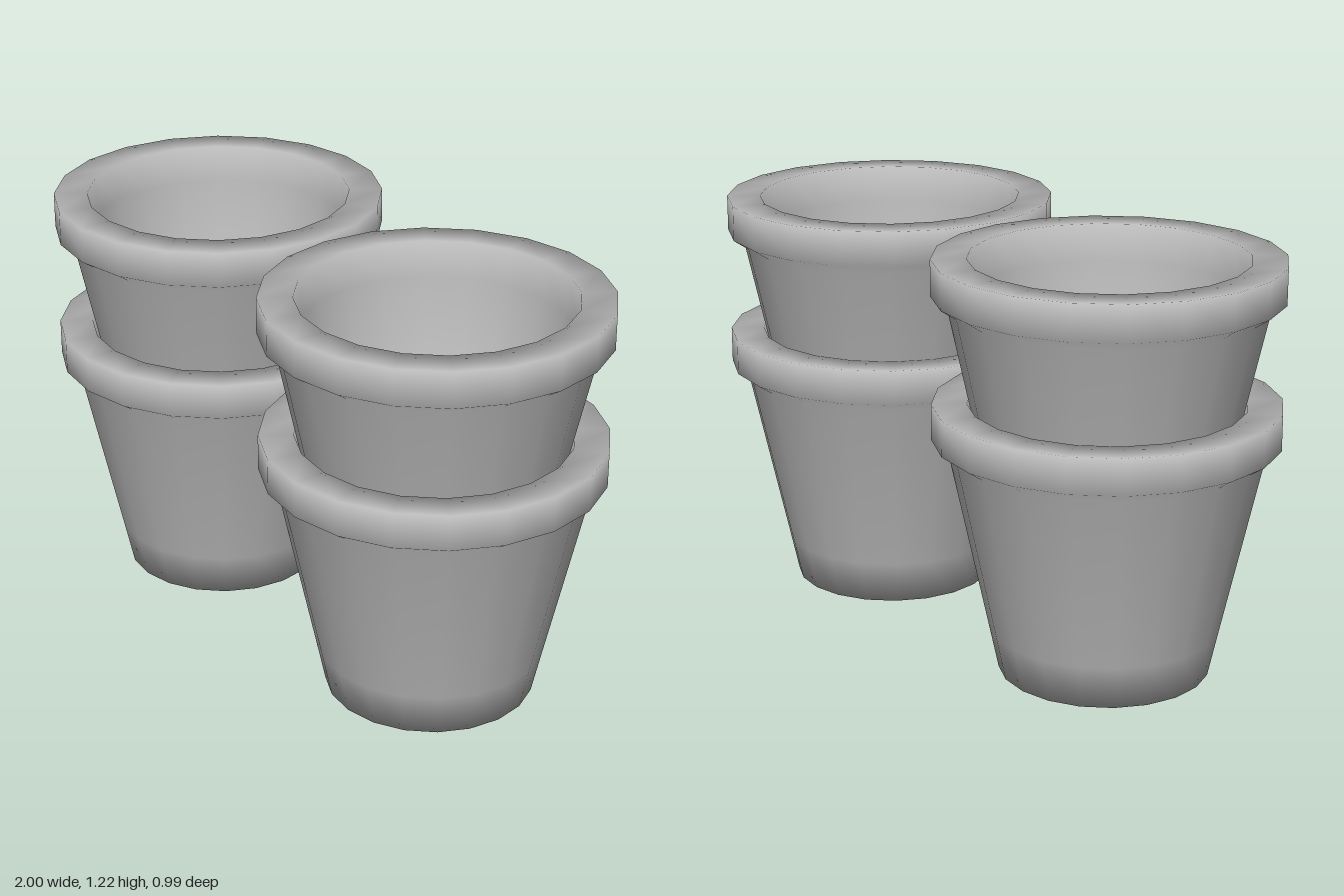
import * as THREE from 'three';

const SIDES = 20;
const STACK_X = 0.505; // distance of each stack from the middle
const NEST_Y = 0.417;  // how far the upper pot sits above the lower one

// Closed half profile: base, tapering outside, collar, lip, inside wall, floor
const PROFILE = [
  [0, 0], [0.305, 0], [0.333, 0.13], [0.45, 0.665],
  [0.495, 0.695], [0.495, 0.8], [0.395, 0.8],
  [0.388, 0.69], [0.27, 0.13], [0, 0.13],
].map(([r, y]) => new THREE.Vector2(r, y));

export function createModel() {
  const model = new THREE.Group();
  model.name = 'stackedFlowerPots';

  const clay = new THREE.MeshStandardMaterial({ color: 0xb8b8b8 });
  clay.name = 'plain grey';
  const potGeometry = new THREE.LatheGeometry(PROFILE, SIDES);

  // Two stacks side by side, each of two nested pots
  for (const [side, sign] of [['left', 1], ['right', -1]]) {
    const stack = new THREE.Group();
    stack.name = side + 'Stack';
    stack.position.x = sign * STACK_X;
    for (const [level, y] of [['Lower', 0], ['Upper', NEST_Y]]) {
      const pot = new THREE.Mesh(potGeometry, clay);
      pot.name = side + level + 'Pot';
      pot.position.y = y;
      stack.add(pot);
    }
    model.add(stack);
  }
  return model;
}
